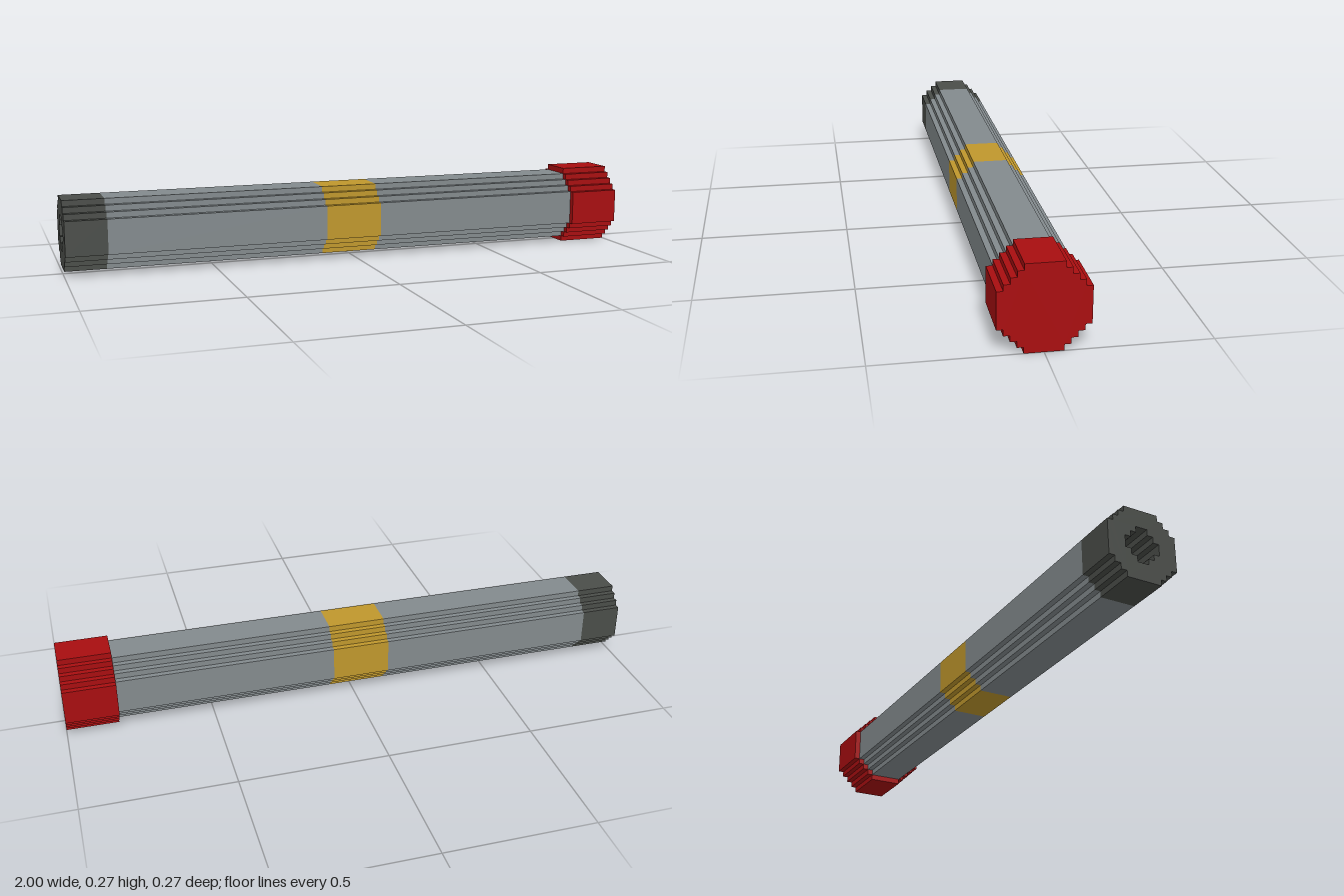
import * as THREE from 'three';

const U = 2 / 102; // one step of the blocky profile

// Stepped octagon: half size r, half flat side f, corners stepped one unit at a time
function outline(r, f) {
  const quarter = [];
  for (let k = 0; k < r - f; k++) quarter.push([r - k, f + k], [r - k - 1, f + k]);
  quarter.push([f, r]);
  const points = [];
  for (let q = 0; q < 4; q++) {
    for (const [x, y] of quarter) {
      const p = [[x, y], [-y, x], [-x, -y], [y, -x]][q];
      points.push(new THREE.Vector2(p[0] * U, p[1] * U));
    }
  }
  return points;
}

// Section of the tube from step a to step b along x, with an optional bore
function section(name, material, a, b, r, bored) {
  const shape = new THREE.Shape(outline(r, 3));
  if (bored) shape.holes.push(new THREE.Path(outline(3, 1)));
  const geometry = new THREE.ExtrudeGeometry(shape, { depth: (b - a) * U, bevelEnabled: false });
  geometry.rotateY(Math.PI / 2);
  geometry.translate(-1 + a * U, 7 * U, 0);
  const mesh = new THREE.Mesh(geometry, material);
  mesh.name = name;
  return mesh;
}

function paint(name, color) {
  const material = new THREE.MeshStandardMaterial({ color });
  material.name = name;
  return material;
}

export function createModel() {
  const dark = paint('dark grey', 0x4a4d49);
  const grey = paint('steel grey', 0x838a8d);
  const gold = paint('gold', 0xbf972c);
  const red = paint('red', 0xa80e10);

  const model = new THREE.Group();
  model.name = 'cappedTube';
  model.add(
    section('muzzle', dark, 0, 7, 6, true),
    section('rearTube', grey, 7, 45, 6, true),
    section('band', gold, 45, 55, 6, true),
    section('frontTube', grey, 55, 93, 6, true),
    section('endCap', red, 93, 102, 7, false),
  );
  return model;
}
